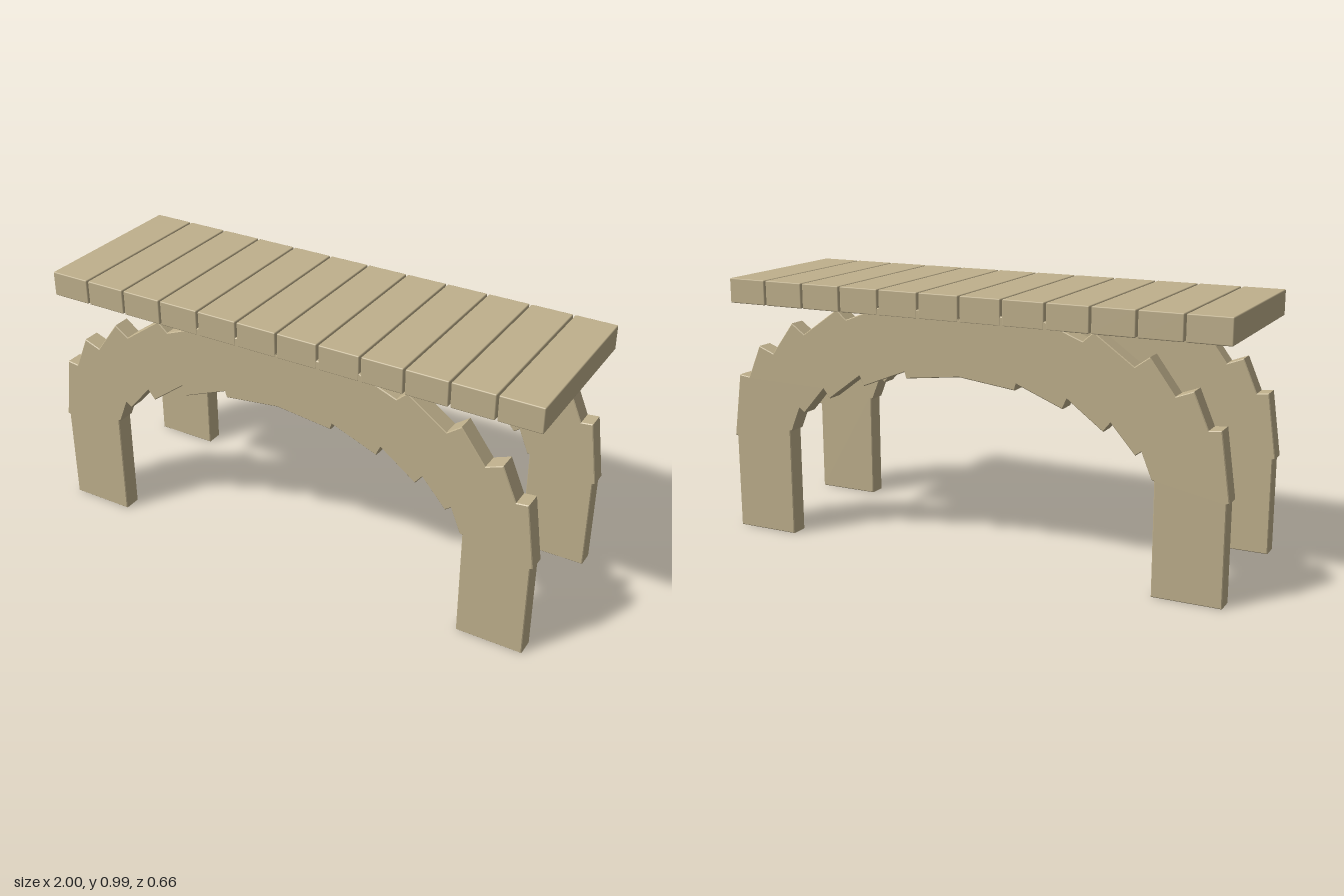
import * as THREE from 'three';
import { RoundedBoxGeometry } from 'three/addons/geometries/RoundedBoxGeometry.js';

const wood = new THREE.MeshStandardMaterial({ color: 0xbfb08c });

// Half of the stepped arch, from the crown down the outside of the leg
const outerEdge = [
  [0, 0.905], [0.03, 0.946], [0.25, 0.92], [0.31, 0.905], [0.325, 0.927],
  [0.47, 0.87], [0.51, 0.905], [0.658, 0.80], [0.711, 0.838], [0.803, 0.714],
  [0.866, 0.738], [0.92, 0.612], [0.965, 0.617], [1.0, 0.371], [0.99, 0.368], [0.99, 0],
];
// ...and from the foot up the inside to the crown
const innerEdge = [
  [0.738, 0], [0.738, 0.415], [0.728, 0.418], [0.69, 0.511], [0.668, 0.495],
  [0.578, 0.598], [0.551, 0.564], [0.417, 0.664], [0.40, 0.627],
  [0.225, 0.697], [0.218, 0.674], [0, 0.70],
];

// Full outline by mirroring, extruded with a slim bevel
function archGeometry(depth) {
  const half = [...outerEdge, ...innerEdge];
  const mirrored = half.slice(1, -1).reverse().map(([x, y]) => [-x, y]);
  const shape = new THREE.Shape([...half, ...mirrored].map(([x, y]) => new THREE.Vector2(x, y)));
  const bevel = 0.003;
  const geometry = new THREE.ExtrudeGeometry(shape, {
    depth: depth - 2 * bevel,
    bevelEnabled: true,
    bevelSize: bevel,
    bevelThickness: bevel,
    bevelOffset: -bevel,
    bevelSegments: 1,
  });
  return geometry.translate(0, 0, bevel - depth / 2);
}

export function createModel() {
  const model = new THREE.Group();
  model.name = 'archedBench';

  // Two arched side frames
  const archShape = archGeometry(0.071);
  for (const [name, side] of [['frontArch', 1], ['backArch', -1]]) {
    const arch = new THREE.Mesh(archShape, wood);
    arch.name = name;
    arch.position.z = side * 0.2935;
    model.add(arch);
  }

  // Deck of twelve cross planks with narrow gaps
  const deck = new THREE.Group();
  deck.name = 'deck';
  const plankShape = new RoundedBoxGeometry(0.158, 0.095, 0.66, 1, 0.004);
  const count = 12;
  for (let i = 0; i < count; i++) {
    const plank = new THREE.Mesh(plankShape, wood);
    plank.name = `plank${i + 1}`;
    plank.position.set((i - (count - 1) / 2) * 0.1655, 0.9445, 0);
    deck.add(plank);
  }
  model.add(deck);

  return model;
}
